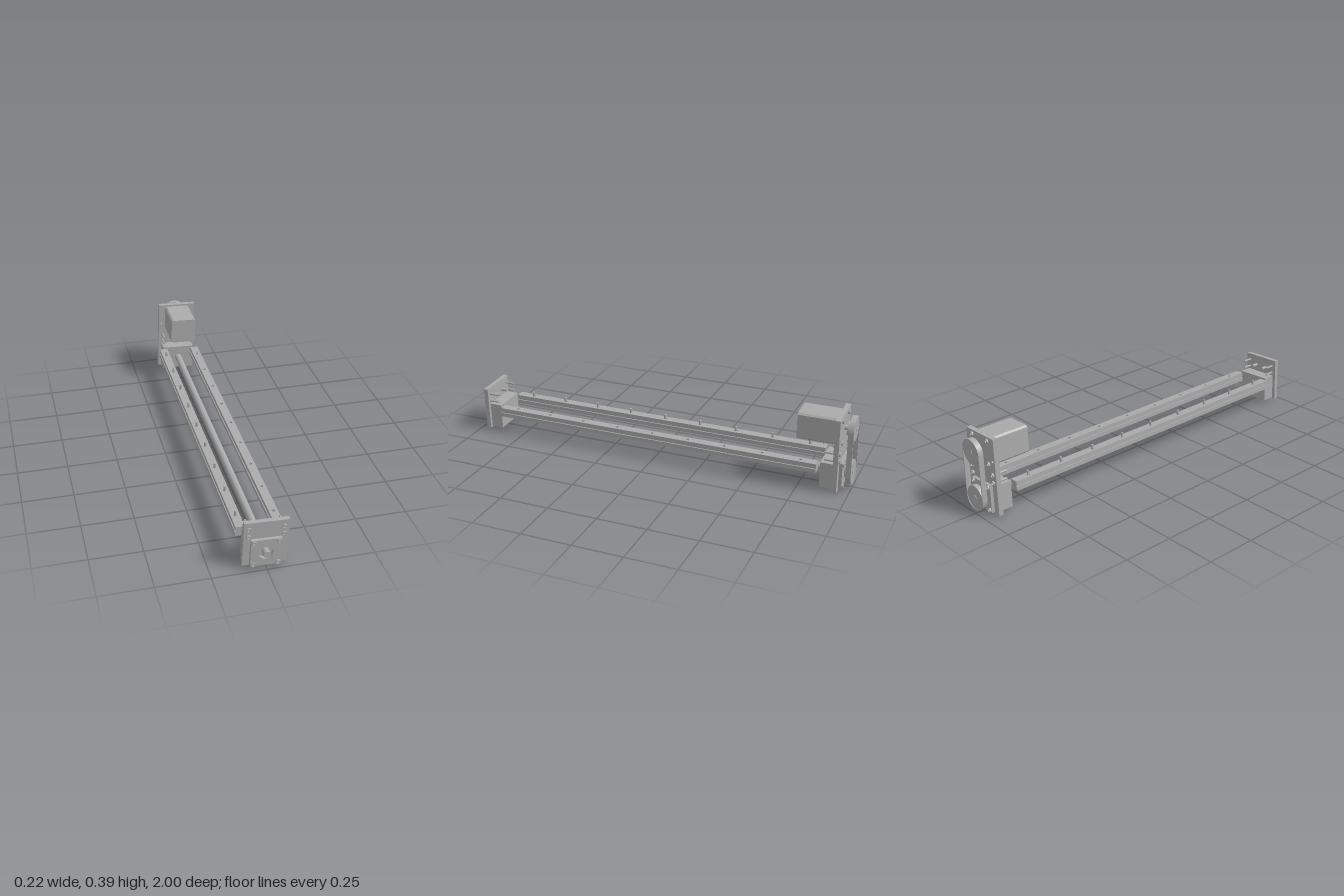
import * as THREE from 'three';

const steel = new THREE.MeshStandardMaterial({ color: 0xaaaaaa });
steel.name = 'grey steel';

const SCREW_Y = 0.078, MOTOR_Y = 0.304;

export function createModel() {
  const model = new THREE.Group();
  model.name = 'beltDrivenLinearActuator';
  const body = new THREE.Group();
  body.name = 'actuator';
  model.add(body);

  const add = (name, geometry, x = 0, y = 0, z = 0, parent = body) => {
    const mesh = new THREE.Mesh(geometry, steel);
    mesh.name = name;
    mesh.position.set(x, y, z);
    parent.add(mesh);
    return mesh;
  };
  // Box and z-axis cylinder given by their z limits
  const box = (name, w, y0, y1, z0, z1) =>
    add(name, new THREE.BoxGeometry(w, y1 - y0, z1 - z0), 0, (y0 + y1) / 2, (z0 + z1) / 2);
  const rod = (name, r, x, y, z0, z1, sides = 32) =>
    add(name, new THREE.CylinderGeometry(r, r, z1 - z0, sides).rotateX(Math.PI / 2), x, y, (z0 + z1) / 2);
  const hole = (shape, x, y, r) => {
    const path = new THREE.Path();
    path.absarc(x, y, r, 0, Math.PI * 2, true);
    shape.holes.push(path);
  };
  const rect = (x0, y0, x1, y1) => new THREE.Shape([
    new THREE.Vector2(x0, y0), new THREE.Vector2(x1, y0),
    new THREE.Vector2(x1, y1), new THREE.Vector2(x0, y1)]);
  const extrude = (shape, depth, curveSegments = 16) =>
    new THREE.ExtrudeGeometry(shape, { depth, bevelEnabled: false, curveSegments });

  // End plates
  const backShape = rect(-0.1025, 0, 0.1025, 0.38);
  for (const s of [-1, 1]) hole(backShape, s * 0.086, 0.268, 0.006);
  add('backPlate', extrude(backShape, 0.024), 0, 0, -0.944);
  box('frontPlate', 0.205, 0.008, 0.232, 0.944, 0.967);

  // Bearing blocks
  box('frontBearingBlock', 0.172, 0.012, 0.143, 0.88, 0.944);
  box('backBearingBlock', 0.172, 0.012, 0.143, -0.92, -0.856);

  // Socket-head bolt whose head sits on face z, pointing along dir
  const bolt = (name, x, y, z, dir, shank) => {
    const ring = new THREE.Shape();
    ring.absarc(0, 0, 0.011, 0, Math.PI * 2, false);
    hole(ring, 0, 0, 0.006);
    const head = extrude(ring, 0.008, 10);
    add(name + 'Head', head, x, y, dir > 0 ? z : z - 0.008);
    if (shank) {
      const end = z - dir * shank;
      rod(name + 'Shank', 0.0055, x, y, Math.min(z, end), Math.max(z, end), 12);
    }
  };

  // Bearing covers and bolts on both ends
  for (const [end, plateFace, dir] of [['front', 0.967, 1], ['back', -0.944, -1]]) {
    const cover = rect(-0.07, 0.01, 0.07, 0.147);
    hole(cover, 0, SCREW_Y, 0.033);
    add(end + 'BearingCover', extrude(cover, 0.016, 24), 0, 0, dir > 0 ? plateFace : plateFace - 0.016);
    for (const s of [-1, 1]) {
      for (const t of [-1, 1]) bolt(end + 'CoverBolt', s * 0.057, SCREW_Y + t * 0.057, plateFace + dir * 0.016, dir, 0);
      for (const y of [0.16, 0.199]) bolt(end + 'PlateBolt', s * 0.08, y, plateFace, dir, 0.072);
      const a = plateFace - dir * 0.022, b = plateFace - dir * 0.057;
      rod(end + 'Stud', 0.008, s * 0.033, 0.178, Math.min(a, b), Math.max(a, b), 16);
    }
  }

  // Lead screw
  rod('leadScrew', 0.018, 0, SCREW_Y, -0.86, 0.89);
  rod('screwFrontEnd', 0.016, 0, SCREW_Y, 0.95, 1.0);
  rod('screwBackEnd', 0.014, 0, SCREW_Y, -0.976, -0.9);

  // Rails: three drilled layers, narrow in the middle
  const holeZ = Array.from({ length: 9 }, (_, i) => 0.008 + (i - 4) * 0.192);
  const layers = [[0.094, 0.02, 0.045], [0.114, 0.007, 0.033], [0.121, 0.02, 0.043]];
  for (const side of [-1, 1]) {
    const rail = new THREE.Group();
    rail.name = side < 0 ? 'rightRail' : 'leftRail';
    body.add(rail);
    for (const [y, h, w] of layers) {
      const plan = rect(-w / 2, -0.865, w / 2, 0.842);
      for (const z of holeZ) hole(plan, 0, -z, 0.008);
      add('railLayer', extrude(plan, h, 8).rotateX(-Math.PI / 2), side * 0.0885, y, 0, rail);
    }
    // Only one rail carries its bolts
    if (side < 0) for (const z of holeZ)
      add('railBolt', new THREE.CylinderGeometry(0.006, 0.006, 0.064, 12), -0.0885, 0.132, z, rail);
  }

  // Motor with chamfered corners
  const m = 0.067, c = 0.008;
  const motor = new THREE.Shape([[-m + c, -m], [m - c, -m], [m, -m + c], [m, m - c],
    [m - c, m], [-m + c, m], [-m, m - c], [-m, -m + c]].map(p => new THREE.Vector2(...p)));
  add('motor', extrude(motor, 0.19), 0, MOTOR_Y, -0.92);
  rod('motorShaft', 0.012, 0, MOTOR_Y, -0.975, -0.92);
  for (const s of [-1, 1]) for (const t of [-1, 1])
    bolt('motorBolt', s * 0.057, MOTOR_Y + t * 0.057, -0.944, -1, 0);

  // Pulleys and belt
  for (const y of [SCREW_Y, MOTOR_Y]) {
    rod('pulley', 0.059, 0, y, -0.998, -0.975, 48);
    rod('pulleyHub', 0.033, 0, y, -0.976, -0.962);
    rod('pulleyCap', 0.012, 0, y, -1.0, -0.997, 24);
  }
  const stadium = (path, r) => {
    path.absarc(0, MOTOR_Y, r, 0, Math.PI, false);
    path.absarc(0, SCREW_Y, r, Math.PI, Math.PI * 2, false);
    path.closePath();
    return path;
  };
  const belt = stadium(new THREE.Shape(), 0.064);
  belt.holes.push(stadium(new THREE.Path(), 0.059));
  add('belt', extrude(belt, 0.026, 32), 0, 0, -1.0);

  // The whole unit leans slightly
  body.rotation.z = -0.0385;
  body.position.set(-0.0045, 0.004, 0);
  return model;
}
